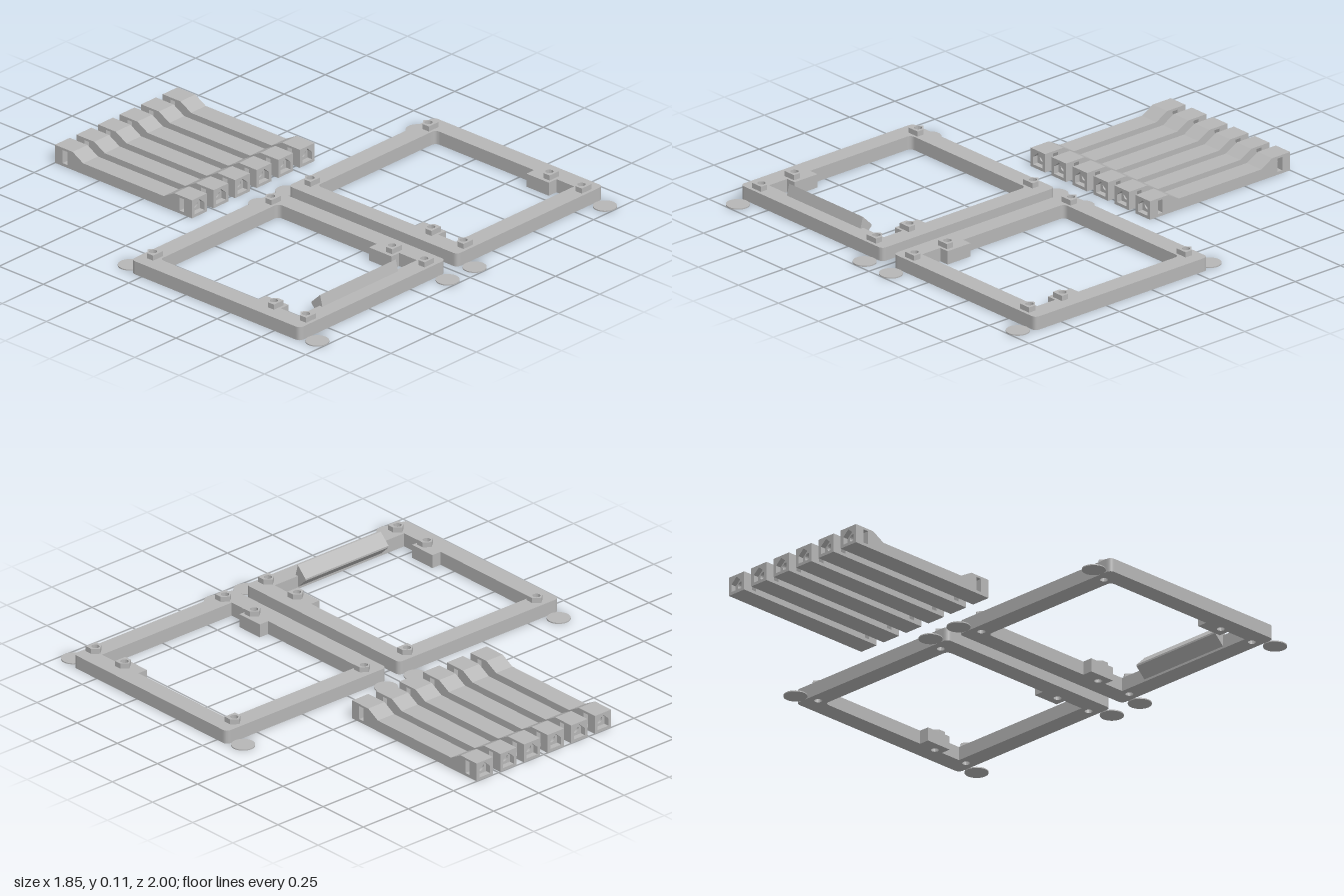
import * as THREE from 'three';

const grey = new THREE.MeshStandardMaterial({ color: 0xb6b6b6 });
grey.name = 'plainGrey';

function add(parent, name, geometry) {
  const mesh = new THREE.Mesh(geometry, grey);
  mesh.name = name;
  parent.add(mesh);
  return mesh;
}

const polygon = (points) => new THREE.Shape(points.map(([x, y]) => new THREE.Vector2(x, y)));
const extrude = (shape, depth) =>
  new THREE.ExtrudeGeometry(shape, { depth, bevelEnabled: false, curveSegments: 8 });
// Plan shapes use (x, -z) and rise along y
const rise = (shape, height) => extrude(shape, height).rotateX(-Math.PI / 2);

function circle(x, y, r) {
  const p = new THREE.Path();
  p.absarc(x, y, r, 0, Math.PI * 2, true);
  return p;
}

const house = (w, low, shoulder, apex) => [[-w, low], [w, low], [w, shoulder], [0, apex], [-w, shoulder]];

const FRAME_TOP = 0.06, PEG_TOP = 0.083, BOLT = 0.017;
const PEG_X = 0.359, PEG_Z = [-0.013, 0.67, 0.852];

function frameShape() {
  // Outer rounded rectangle
  const s = new THREE.Shape();
  const w = 0.4435, b = 0.06, f = -0.895, r = 0.025;
  s.moveTo(-w + r, f);
  s.lineTo(w - r, f);
  s.quadraticCurveTo(w, f, w, f + r);
  s.lineTo(w, b - r);
  s.quadraticCurveTo(w, b, w - r, b);
  s.lineTo(-w + r, b);
  s.quadraticCurveTo(-w, b, -w, b - r);
  s.lineTo(-w, f + r);
  s.quadraticCurveTo(-w, f, -w + r, f);

  // Opening with a bolt pad on each side rail
  const h = new THREE.Path();
  const i = 0.359, p = 0.313, back = -0.026, front = -0.81;
  h.moveTo(-i, front);
  h.lineTo(-i, -0.71);
  h.lineTo(-p, -0.71);
  h.lineTo(-p, -0.583);
  h.lineTo(-i, -0.583);
  h.lineTo(-i, back - r);
  h.quadraticCurveTo(-i, back, -i + r, back);
  h.lineTo(i - r, back);
  h.quadraticCurveTo(i, back, i, back - r);
  h.lineTo(i, -0.583);
  h.lineTo(p, -0.583);
  h.lineTo(p, -0.71);
  h.lineTo(i, -0.71);
  h.lineTo(i, front);
  h.closePath();
  s.holes.push(h);
  for (const x of [-PEG_X, PEG_X]) for (const z of PEG_Z) s.holes.push(circle(x, -z, BOLT));
  return s;
}

function makeFrame(name, x) {
  const frame = new THREE.Group();
  frame.name = name;
  frame.position.x = x;
  add(frame, 'rails', rise(frameShape(), FRAME_TOP));

  // Hollow pentagonal locating pegs
  const pegShape = polygon(house(0.029, -0.028, 0.006, 0.03));
  pegShape.holes.push(circle(0, 0, BOLT));
  const pegGeometry = rise(pegShape, PEG_TOP - FRAME_TOP);
  const padGeometry = new THREE.CylinderGeometry(0.05, 0.05, 0.005, 32);
  for (const side of [-1, 1]) {
    for (const z of PEG_Z) add(frame, 'peg', pegGeometry).position.set(side * PEG_X, FRAME_TOP, z);
    // Thin round feet beyond the corners
    for (const z of [-0.11, 0.95]) add(frame, 'cornerDisc', padGeometry).position.set(side * 0.396, 0.0025, z);
  }
  return frame;
}

// Spacer bars, modelled along z with bolt holes and nut slots at both ends
const BAR_W = 0.09, BAR_L = 0.775, SOCKET = 0.025, SLOT_START = 0.044, SLOT_END = 0.07;

function makeBar() {
  const bar = new THREE.Group();
  bar.name = 'spacerBar';

  // Side profile with raised ends and a notch for each nut
  const half = BAR_L / 2, e = half - SLOT_START, n = half - SLOT_END;
  const right = [[e, 0], [e, 0.013], [n, 0.013], [n, 0.073], [e, 0.073], [e, PEG_TOP],
    [half - 0.1, PEG_TOP], [half - 0.16, 0.05]];
  const left = right.map(([z, y]) => [-z, y]).reverse();
  add(bar, 'barBody', extrude(polygon([...right, ...left]), BAR_W)
    .translate(0, 0, -BAR_W / 2).rotateY(-Math.PI / 2));

  const block = () => polygon([[-BAR_W / 2, 0], [BAR_W / 2, 0], [BAR_W / 2, PEG_TOP], [-BAR_W / 2, PEG_TOP]]);
  const socket = block();
  socket.holes.push(new THREE.Path(house(0.03, 0.013, 0.047, 0.073).map((p) => new THREE.Vector2(...p))));
  const wall = block();
  wall.holes.push(circle(0, 0.042, BOLT));
  const socketGeometry = extrude(socket, SOCKET).translate(0, 0, half - SOCKET);
  const wallGeometry = extrude(wall, SLOT_START - SOCKET).translate(0, 0, e);
  for (const turn of [0, Math.PI]) {
    add(bar, 'endSocket', socketGeometry).rotation.y = turn;
    add(bar, 'boltWall', wallGeometry).rotation.y = turn;
  }
  return bar;
}

export function createModel() {
  const model = new THREE.Group();
  model.name = 'frameKit';

  const leftFrame = makeFrame('clipFrame', -0.479);
  model.add(leftFrame, makeFrame('plainFrame', 0.477));

  // Wedge-shaped retaining lip on the front rail
  const lip = polygon([[-0.825, 0.06], [-0.825, 0.055], [-0.81, 0.01], [-0.764, 0.055], [-0.764, 0.063], [-0.812, 0.11]]);
  add(model, 'retainingLip', extrude(lip, 0.46).rotateY(Math.PI / 2).translate(-0.71, 0, 0));

  for (let i = 0; i < 6; i++) {
    const bar = makeBar();
    bar.position.set((i - 2.5) * 0.131 - 0.001, 0, -1 + BAR_L / 2);
    model.add(bar);
  }
  return model;
}
